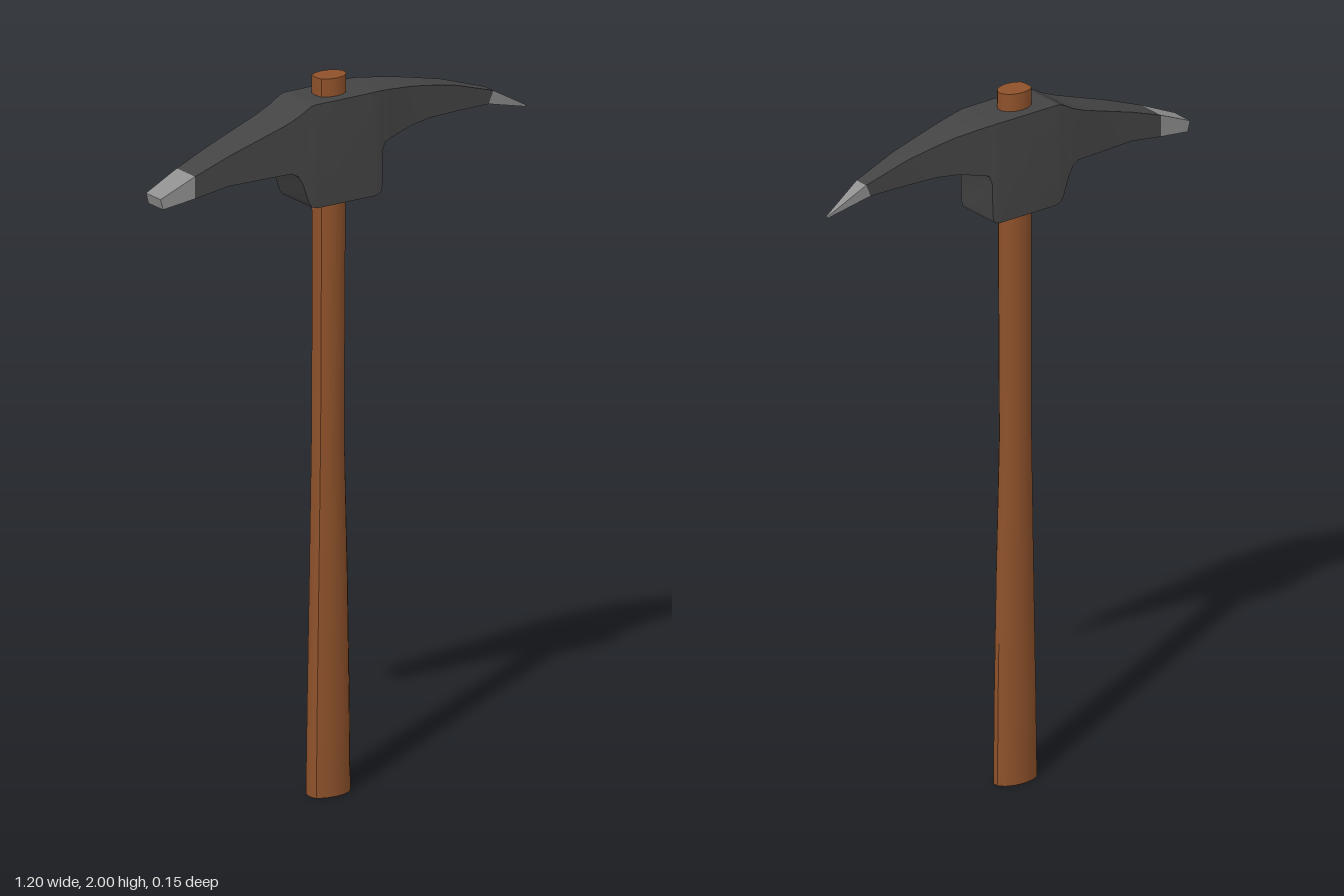
import * as THREE from 'three';
import { toCreasedNormals } from 'three/addons/utils/BufferGeometryUtils.js';

// Closed skin over a row of equal-length rings of [x, y, z] points, capped at both ends
function loft(rings, crease) {
  const n = rings[0].length, last = (rings.length - 1) * n, index = [];
  for (let i = 0; i < last; i += n) {
    for (let j = 0; j < n; j++) {
      const k = (j + 1) % n;
      index.push(i + j, i + k, i + n + k, i + j, i + n + k, i + n + j);
    }
  }
  for (let j = 1; j < n - 1; j++) {
    index.push(0, j + 1, j, last, last + j, last + j + 1);
  }
  const geo = new THREE.BufferGeometry();
  geo.setAttribute('position', new THREE.Float32BufferAttribute(rings.flat(2), 3));
  geo.setIndex(index);
  return toCreasedNormals(geo, crease);
}

// Head section: top x, top y, bottom x, bottom y, half width, extra width at mid height
function headRing([xt, yt, xb, yb, w, bulge = 0]) {
  const xm = (xt + xb) / 2, ym = (yt + yb) / 2, m = w + bulge;
  return [[xt, yt, w], [xm, ym, m], [xb, yb, w], [xb, yb, -w], [xm, ym, -m], [xt, yt, -w]];
}

// Handle section: flattened on the -x side, rounder towards +x
function handleRing([y, x0, x1, z0, z1]) {
  const ring = [], n = 14;
  for (let i = 0; i < n; i++) {
    const a = (i / n) * Math.PI * 2;
    const s = Math.max(-0.85, Math.sin(a));
    const u = (s + 0.85) / 1.85;
    ring.push([x0 + (x1 - x0) * u, y, (z0 + z1) / 2 + (z1 - z0) / 2 * Math.cos(a)]);
  }
  return ring;
}

export function createModel() {
  const group = new THREE.Group();
  group.name = 'pickaxe';
  const material = (name, color) => {
    const m = new THREE.MeshStandardMaterial({ color });
    m.name = name;
    return m;
  };
  const wood = material('brown wood', 0x8f522b);
  const iron = material('dark iron', 0x444444);
  const steel = material('bare steel', 0x909090);
  const add = (name, geo, mat) => {
    const mesh = new THREE.Mesh(geo, mat);
    mesh.name = name;
    group.add(mesh);
  };

  // Handle, swelling towards the foot
  add('handle', loft([
    [0, -0.1, 0.027, -0.035, 0.044],
    [0.25, -0.096, 0.025, -0.034, 0.042],
    [0.6, -0.088, 0.02, -0.034, 0.038],
    [1.0, -0.08, 0.01, -0.034, 0.035],
    [1.3, -0.078, 0.012, -0.035, 0.035],
    [2, -0.078, 0.016, -0.037, 0.037],
  ].map(handleRing), 0.6), wood);

  // Head: flat blade on -x, socket block in the middle, spike on +x
  const bladeJoin = [-0.495, 1.812, -0.495, 1.75, 0.043];
  const spikeJoin = [0.48, 1.865, 0.465, 1.83, 0.021];
  add('head', loft([
    bladeJoin,
    [-0.39, 1.852, -0.39, 1.768, 0.051],
    [-0.22, 1.908, -0.2, 1.77, 0.065],
    [-0.18, 1.925, -0.18, 1.76, 0.068],
    [-0.158, 1.938, -0.165, 1.735, 0.069],
    [-0.138, 1.948, -0.147, 1.682, 0.069, 0.003],
    [-0.125, 1.95, -0.137, 1.667, 0.069, 0.005],
    [-0.11, 1.95, -0.12, 1.661, 0.069, 0.005],
    [0.055, 1.95, 0.07, 1.661, 0.069, 0.005],
    [0.075, 1.95, 0.086, 1.668, 0.068, 0.003],
    [0.087, 1.95, 0.09, 1.685, 0.068],
    [0.092, 1.949, 0.092, 1.78, 0.067],
    [0.1, 1.949, 0.1, 1.803, 0.066],
    [0.12, 1.947, 0.12, 1.811, 0.063],
    [0.2, 1.937, 0.2, 1.829, 0.05],
    [0.26, 1.926, 0.26, 1.835, 0.042],
    [0.35, 1.907, 0.35, 1.834, 0.033],
    spikeJoin,
  ].map(headRing), 0.5), iron);

  // Ground cutting ends
  add('bladeEdge', loft([[-0.6, 1.765, -0.592, 1.735, 0.034], bladeJoin].map(headRing), 0.4), steel);
  add('spikePoint', loft([spikeJoin, [0.598, 1.798, 0.594, 1.794, 0.002]].map(headRing), 0.4), steel);

  return group;
}
